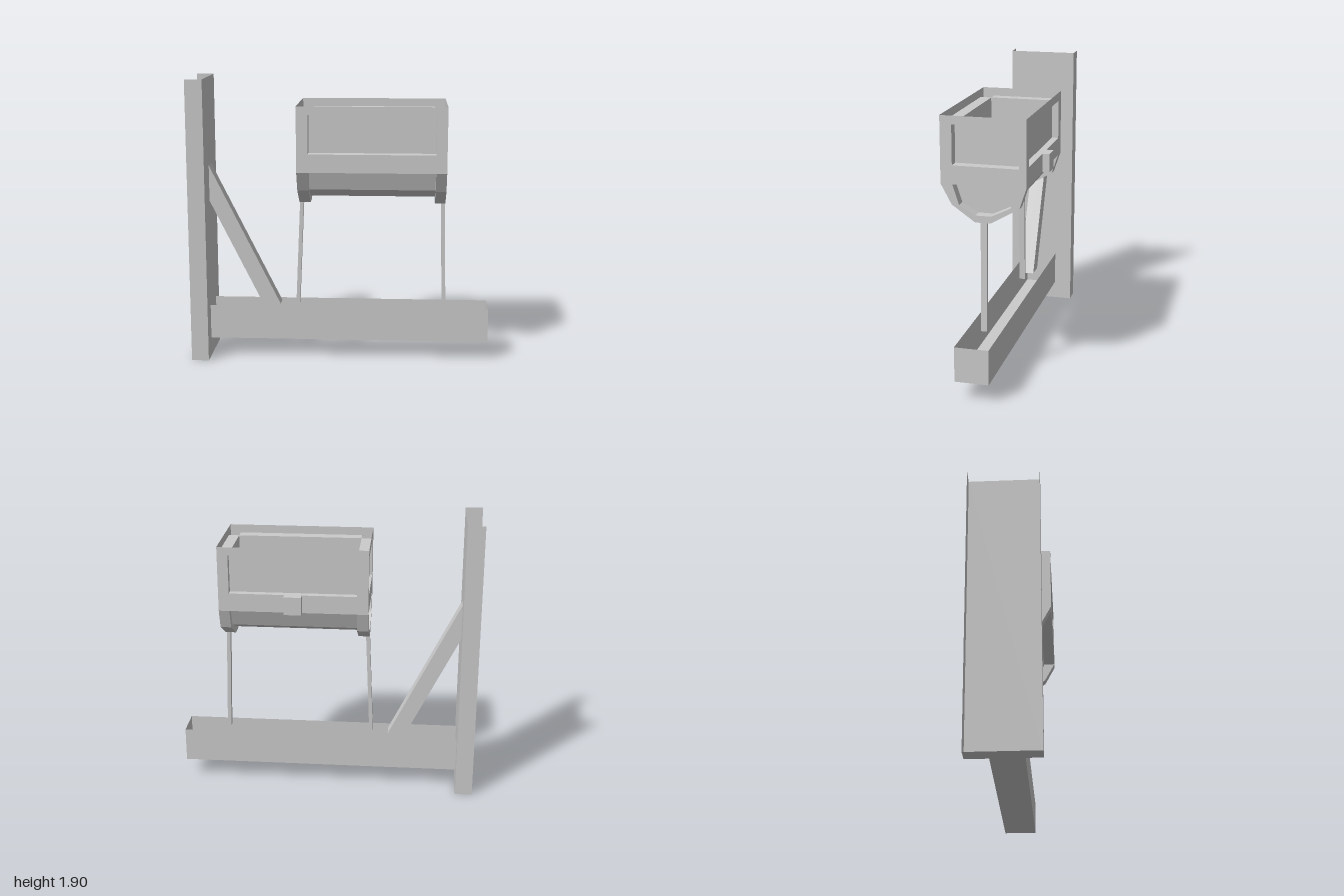
import * as THREE from 'three';

const mat = new THREE.MeshStandardMaterial({ color: 0xcccccc, side: THREE.DoubleSide, flatShading: true });

function add(parent, name, geo) {
  const mesh = new THREE.Mesh(geo, mat);
  mesh.name = name;
  parent.add(mesh);
  return mesh;
}

// Thin sheet: a 3D polyline swept along an offset
function sheet(path, off, closed = false) {
  const pos = [];
  const n = closed ? path.length : path.length - 1;
  for (let i = 0; i < n; i++) {
    const a = path[i], b = path[(i + 1) % path.length];
    const c = b.map((v, k) => v + off[k]), d = a.map((v, k) => v + off[k]);
    pos.push(...a, ...b, ...c, ...a, ...c, ...d);
  }
  const g = new THREE.BufferGeometry();
  g.setAttribute('position', new THREE.Float32BufferAttribute(pos, 3));
  g.computeVertexNormals();
  return g;
}

const rect = (a0, y0, a1, y1) => [[a0, y0], [a1, y0], [a1, y1], [a0, y1]];
const toV2 = pts => pts.map(p => new THREE.Vector2(p[0], p[1]));

// Flat panel with holes; axis 'z' lies in x-y, axis 'x' lies in z-y
function panel(axis, at, outline, holes = []) {
  const s = new THREE.Shape(toV2(outline));
  holes.forEach(h => s.holes.push(new THREE.Path(toV2(h))));
  const g = new THREE.ShapeGeometry(s);
  if (axis === 'x') return g.rotateY(-Math.PI / 2).translate(at, 0, 0);
  return g.translate(0, 0, at);
}

// Recess behind a hole: side walls and a back panel
function pocket(parent, name, axis, from, to, outline) {
  const path = outline.map(([a, y]) => axis === 'x' ? [from, y, a] : [a, y, from]);
  const off = axis === 'x' ? [to - from, 0, 0] : [0, 0, to - from];
  add(parent, name + 'Sides', sheet(path, off, true));
  add(parent, name + 'Back', panel(axis, to, outline));
}

// Rectangular rod between two centres
function rod(x0, y0, x1, y1, w, z0, z1) {
  const s = new THREE.Shape(toV2([[x0 - w / 2, y0], [x0 + w / 2, y0], [x1 + w / 2, y1], [x1 - w / 2, y1]]));
  return new THREE.ExtrudeGeometry(s, { depth: z1 - z0, bevelEnabled: false }).translate(0, 0, z0);
}

export function createModel() {
  const root = new THREE.Group();
  root.name = 'basketOnStand';

  // Upright post: channel open at its outer side and top
  const post = new THREE.Group();
  post.name = 'post';
  root.add(post);
  add(post, 'postChannel', sheet([[-1, 0, 0.25], [-0.885, 0, 0.25], [-0.885, 0, -0.21], [-1, 0, -0.21]], [0, 1.9, 0]));
  add(post, 'postBottom', sheet([[-1, 0, 0.25], [-0.885, 0, 0.25]], [0, 0, -0.46]));

  // Horizontal beam: trough open at the top
  const beam = new THREE.Group();
  beam.name = 'beam';
  root.add(beam);
  add(beam, 'beamWalls', sheet([[-0.885, 0.125, 0.13], [1, 0.125, 0.13], [1, 0.125, -0.09], [-0.885, 0.125, -0.09]], [0, 0.23, 0]));
  add(beam, 'beamBottom', sheet([[-0.885, 0.125, 0.13], [1, 0.125, 0.13]], [0, 0, -0.22]));

  // Diagonal brace
  const braceShape = new THREE.Shape(toV2([[-0.885, 1.31], [-0.885, 1.07], [-0.53, 0.355], [-0.41, 0.355]]));
  add(root, 'brace', new THREE.ExtrudeGeometry(braceShape, { depth: 0.1, bevelEnabled: false }).translate(0, 0, -0.03));

  // Supporting rods
  add(root, 'rightRod', rod(-0.293, 0.355, -0.262, 1.07, 0.025, 0, 0.04));
  add(root, 'leftRod', rod(0.703, 0.355, 0.685, 1.07, 0.025, 0, 0.04));

  // Basket
  const basket = new THREE.Group();
  basket.name = 'basket';
  root.add(basket);
  const X0 = -0.275, X1 = 0.7, x0 = -0.2, x1 = 0.63;
  const ZF = 0.295, ZB = -0.25, zf = 0.22, zb = -0.205;
  const top = 1.735, waist = 1.305, winLow = 1.425, winHigh = 1.68;
  // lower profiles as [z, y], front to back
  const outer = [[ZF, waist], [0.225, 1.175], [0.075, 1.07], [-0.025, 1.07], [-0.207, 1.175], [ZB, waist]];
  const inner = [[zf, waist], [0.177, 1.175], [0.075, 1.115], [-0.025, 1.115], [-0.15, 1.175], [zb, waist]];
  const atX = (pts, x) => pts.map(([z, y]) => [x, y, z]);

  // Long walls with recessed windows, and the ledge below each
  for (const [name, Z, z] of [['front', ZF, zf], ['back', ZB, zb]]) {
    const win = rect(x0, winLow, x1, winHigh);
    add(basket, name + 'Wall', panel('z', Z, rect(X0, waist, X1, top), [win]));
    pocket(basket, name + 'Window', 'z', Z, z, win);
    add(basket, name + 'Ledge', sheet([[x0, waist, Z], [x1, waist, Z]], [0, 0, z - Z]));
  }

  // End walls with a window and a lower recess, and the ribs under them
  for (const [name, X, x] of [['left', X1, x1], ['right', X0, x0]]) {
    const win = rect(zb, winLow, zf, winHigh);
    add(basket, name + 'End', panel('x', X, [[ZF, top], ...outer, [ZB, top]], [win, inner]));
    pocket(basket, name + 'EndWindow', 'x', X, x, win);
    pocket(basket, name + 'LowerRecess', 'x', X, x, inner);
    add(basket, name + 'RibSkin', sheet(atX(outer, X), [x - X, 0, 0]));
    add(basket, name + 'RibSide', panel('x', x, [...outer, ...inner.slice().reverse()]));
  }

  // Angled bottom between the ribs
  add(basket, 'basketBottom', sheet(atX(inner, x0), [x1 - x0, 0, 0]));

  // Small block on the back
  add(basket, 'backBlock', new THREE.BoxGeometry(0.115, 0.12, 0.047).translate(0.2125, 1.365, -0.2735));

  return root;
}
